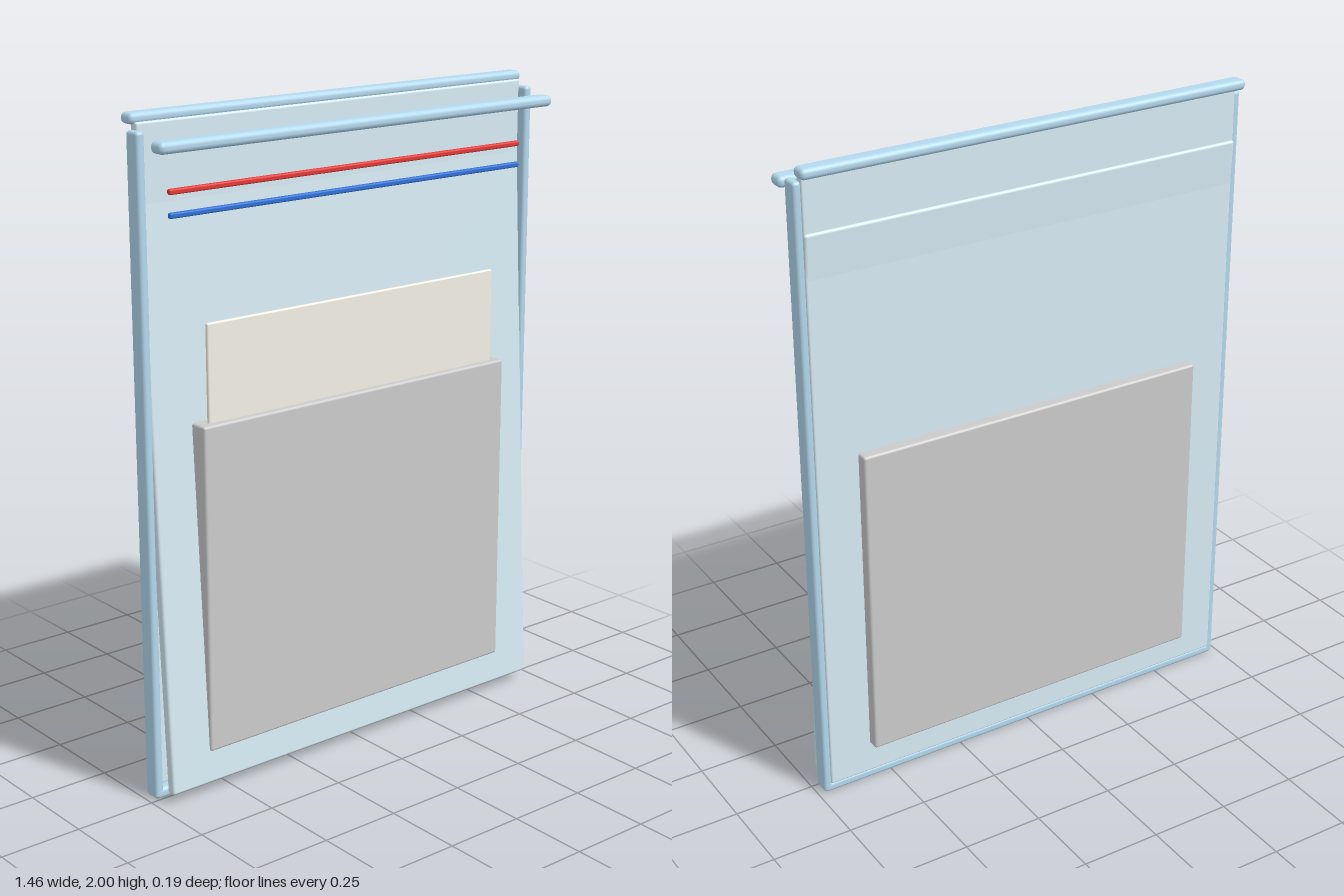
import * as THREE from 'three';
import { RoundedBoxGeometry } from 'three/addons/geometries/RoundedBoxGeometry.js';

const mat = (color) => new THREE.MeshStandardMaterial({ color });

export function createModel() {
  const group = new THREE.Group();
  const film = mat(0xd8ecf6), seam = mat(0xb4d9ee), grey = mat(0xcccccc);

  // Rounded box given by its extents on each axis
  function part(name, [x0, x1], [y0, y1], [z0, z1], radius, material) {
    const w = x1 - x0, h = y1 - y0, d = z1 - z0;
    const mesh = new THREE.Mesh(new RoundedBoxGeometry(w, h, d, 3, radius), material);
    mesh.position.set((x0 + x1) / 2, (y0 + y1) / 2, (z0 + z1) / 2);
    mesh.name = name;
    group.add(mesh);
    return mesh;
  }

  // Back sheet, upright
  part('backSheet', [-0.71, 0.71], [0.03, 1.975], [-0.06, -0.032], 0.006, film);

  // Front sheet, leaning back from its foot to meet the back sheet
  const foot = new THREE.Vector2(0.042, 0.03), head = new THREE.Vector2(-0.051, 1.81);
  const length = foot.distanceTo(head);
  const front = part('frontSheet', [-0.71, 0.71], [0, length], [-0.016, 0.016], 0.008, film);
  front.position.set(0, (foot.y + head.y) / 2, (foot.x + head.x) / 2);
  front.rotation.x = Math.atan2(head.x - foot.x, head.y - foot.y);

  // Side and bottom seams
  for (const [name, s] of [['leftSeam', 1], ['rightSeam', -1]]) {
    const side = part(name, [-0.0135, 0.0135], [0.003, 1.955], [-0.055, 0], 0.01, seam);
    side.position.x = s * 0.718;
  }
  part('bottomSeam', [-0.73, 0.73], [0, 0.032], [-0.055, 0], 0.012, seam);

  // Lips of the opening
  part('backLip', [-0.724, 0.724], [1.968, 2.0], [-0.092, -0.04], 0.014, seam);
  part('frontLip', [-0.724, 0.724], [1.904, 1.938], [0.046, 0.1], 0.015, seam);

  // Closure strips
  const red = mat(0xe53935), blue = mat(0x2f72d9);
  part('redStrip', [-0.652, 0.652], [1.782, 1.798], [0.017, 0.033], 0.005, red);
  part('blueStrip', [-0.652, 0.652], [1.717, 1.733], [0.017, 0.033], 0.005, blue);

  // Block held in the pouch, with a card standing out of it
  part('block', [-0.575, 0.575], [0.13, 1.123], [-0.095, 0.06], 0.008, grey);
  part('card', [-0.542, 0.542], [0.25, 1.412], [0.025, 0.038], 0.005, mat(0xf4f2e6));

  return group;
}
